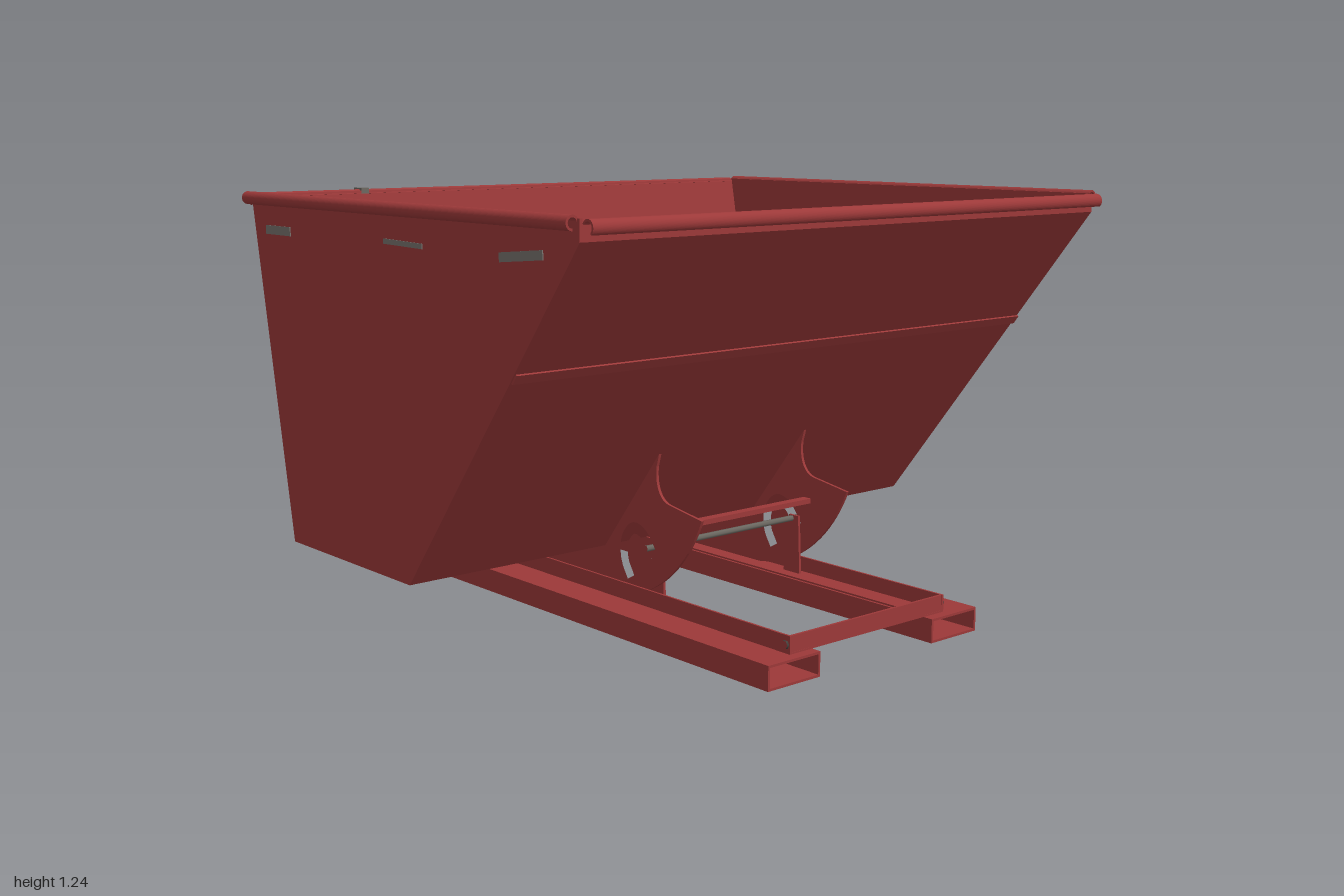
import * as THREE from 'three';

const mat = (name, color) => Object.assign(new THREE.MeshStandardMaterial({ color }), { name });

export function createModel() {
  const root = new THREE.Group();
  root.name = 'tippingSkip';
  const red = mat('red paint', 0x9c3939);
  const grey = mat('grey steel', 0x6c6861);
  const dark = mat('dark steel', 0x45423e);
  const label = mat('label grey', 0x77716c);

  const add = (name, geometry, material, parent = root) => {
    const m = new THREE.Mesh(geometry, material);
    m.name = name;
    parent.add(m);
    return m;
  };
  // box given by its limits
  const box = (name, x0, x1, y0, y1, z0, z1, material = red) => {
    const m = add(name, new THREE.BoxGeometry(x1 - x0, y1 - y0, z1 - z0), material);
    m.position.set((x0 + x1) / 2, (y0 + y1) / 2, (z0 + z1) / 2);
    return m;
  };
  // (z, y) outline extruded across x, centred on cx
  const slab = (name, shape, width, cx, material = red) => {
    const g = new THREE.ExtrudeGeometry(shape, { depth: width, bevelEnabled: false, curveSegments: 20 });
    g.rotateY(-Math.PI / 2).translate(cx + width / 2, 0, 0);
    return add(name, g, material);
  };
  const poly = pts => new THREE.Shape(pts.map(p => new THREE.Vector2(...p)));
  const rod = (name, pts, r, material, seg = 24) =>
    add(name, new THREE.TubeGeometry(new THREE.CatmullRomCurve3(pts.map(p => new THREE.Vector3(...p))), seg, r, 6), material);

  // Hopper: bent sheet for front, floor and rear, plus two side walls
  slab('hopperSheet', poly([
    [0.79, 1.225], [0.79, 1.18], [0.02, 0.21], [-0.62, 0.21], [-0.81, 1.235],
    [-0.802, 1.235], [-0.613, 0.218], [0.016, 0.218], [0.782, 1.183], [0.782, 1.225],
  ]), 1.93, 0);
  const sideOutline = poly([[0.79, 1.235], [0.79, 1.18], [0.02, 0.21], [-0.62, 0.21], [-0.81, 1.235]]);
  for (const s of [-1, 1]) slab('hopperSide', sideOutline, 0.008, s * 0.963);

  // Narrow overlap seam across the sloping front
  slab('frontSeam', poly([[0.527, 0.845], [0.532, 0.842], [0.514, 0.818], [0.508, 0.82]]), 1.93, 0);

  // Rolled rims: open curls, the hollow facing down and inward
  const curl = (r, a0, a1) => {
    const s = new THREE.Shape();
    s.absarc(0, 0, r, a0, a1, false);
    s.absarc(0, 0, r - 0.006, a1, a0, true);
    return s;
  };
  const frontRim = slab('frontRim', curl(0.021, -0.9, 2.7), 1.92, 0);
  frontRim.position.set(0, 1.214, 0.811);
  const rearRim = slab('rearRim', curl(0.021, 0.4, 4.0), 1.92, 0);
  rearRim.position.set(0, 1.218, -0.819);
  for (const s of [-1, 1]) {
    const g = new THREE.ExtrudeGeometry(curl(0.019, -1.6, 2.9), { depth: 1.59, bevelEnabled: false, curveSegments: 16 });
    if (s < 0) g.rotateY(Math.PI).translate(0, 0, 1.59);
    add('sideRim', g, red).position.set(s * 0.98, 1.225, -0.81);
  }

  // Labels near the top of each side
  for (const s of [-1, 1]) {
    for (const [z, w, h, tilt] of [[0.56, 0.18, 0.024, -0.09], [0.03, 0.19, 0.014, 0.02], [-0.65, 0.145, 0.026, 0]]) {
      const m = add('sideLabel', new THREE.BoxGeometry(0.004, h, w), label);
      m.position.set(s * 0.968, 1.135, z);
      m.rotation.x = tilt;
    }
  }

  // Rocker plates with a curved slot
  const rocker = new THREE.Shape();
  rocker.moveTo(0.27, 0.53);
  rocker.quadraticCurveTo(0.262, 0.5, 0.257, 0.485);
  rocker.bezierCurveTo(0.25, 0.43, 0.27, 0.39, 0.31, 0.382);
  rocker.lineTo(0.45, 0.36);
  rocker.bezierCurveTo(0.39, 0.22, 0.25, 0.075, 0.03, 0.072);
  rocker.lineTo(-0.2, 0.072);
  rocker.lineTo(-0.49, 0.09);
  rocker.lineTo(-0.51, 0.21);
  rocker.lineTo(0.02, 0.21);
  rocker.lineTo(0.27, 0.53);
  const path = new THREE.CatmullRomCurve3([
    [0.14, 0.138], [0.112, 0.19], [0.115, 0.25], [0.155, 0.288], [0.2, 0.275], [0.245, 0.22],
  ].map(([z, y]) => new THREE.Vector3(z, y, 0)));
  const left = [], right = [];
  for (let i = 0; i <= 20; i++) {
    const p = path.getPoint(i / 20), t = path.getTangent(i / 20);
    left.push(new THREE.Vector2(p.x - t.y * 0.017, p.y + t.x * 0.017));
    right.unshift(new THREE.Vector2(p.x + t.y * 0.017, p.y - t.x * 0.017));
  }
  rocker.holes.push(new THREE.Path([...left, ...right]));
  for (const s of [-1, 1]) slab('rockerPlate', rocker, 0.009, s * 0.288);

  // Pivot bar, its lugs and the tie between the rockers
  rod('pivotBar', [[-0.315, 0.245, 0.235], [0.315, 0.245, 0.235]], 0.009, grey, 1);
  box('rockerTie', -0.285, 0.285, 0.3, 0.315, 0.27, 0.3);
  const lug = poly([[0.2, 0.07], [0.27, 0.07], [0.262, 0.255], [0.222, 0.255]]);
  for (const s of [-1, 1]) slab('pivotLug', lug, 0.008, s * 0.272);

  // Base: hollow fork pockets, angle rails and cross members
  for (const s of [-1, 1]) {
    const tube = new THREE.Shape([[-0.095, 0], [0.095, 0], [0.095, 0.07], [-0.095, 0.07]].map(p => new THREE.Vector2(...p)));
    tube.holes.push(new THREE.Path([[-0.088, 0.007], [-0.088, 0.063], [0.088, 0.063], [0.088, 0.007]].map(p => new THREE.Vector2(...p))));
    const g = new THREE.ExtrudeGeometry(tube, { depth: 1.685, bevelEnabled: false });
    add('forkPocket', g, red).position.set(s * 0.317, 0, -0.84);
    const a = s * 0.298, b = s * 0.305, c = s * 0.23;
    box('railWeb', Math.min(a, b), Math.max(a, b), 0.07, 0.12, -0.76, 0.815);
    box('railFlange', Math.min(a, c), Math.max(a, c), 0.068, 0.075, -0.76, 0.815);
    rod('railBolt', [[s * 0.28, 0.095, 0.8], [s * 0.312, 0.095, 0.8]], 0.012, dark, 1);
  }
  for (const [name, z, d] of [['frontCrossMember', 0.81, -1], ['rearCrossMember', -0.75, 1]]) {
    box(name, -0.3, 0.3, 0.07, 0.12, z - 0.004, z + 0.004);
    box(name + 'Flange', -0.3, 0.3, 0.07, 0.077, Math.min(z, z + d * 0.05), Math.max(z, z + d * 0.05));
  }

  // Rear latch: lever, catch post and the bracket on the hopper
  box('latchLever', 0.095, 0.12, 0.1, 0.46, -0.713, -0.682, grey);
  box('leverFoot', 0.08, 0.135, 0.075, 0.14, -0.75, -0.68, grey);
  box('catchPost', -0.04, -0.018, 0.1, 0.36, -0.713, -0.69, grey);
  box('catchPlate', -0.06, 0.0, 0.34, 0.385, -0.7, -0.69, label);
  rod('latchPin', [[-0.045, 0.22, -0.7], [0.125, 0.22, -0.7]], 0.008, grey, 1);
  const bracket = poly([[-0.63, 0.25], [-0.655, 0.25], [-0.685, 0.27], [-0.685, 0.34], [-0.66, 0.36], [-0.645, 0.36]]);
  for (const x of [-0.07, 0.01]) slab('latchBracket', bracket, 0.012, x);
  box('latchBracketFace', -0.07, 0.01, 0.27, 0.34, -0.68, -0.668);

  // Return spring along the rear cross member
  const coil = [];
  for (let i = 0; i <= 9 * 10; i++) {
    const a = i / 10 * Math.PI * 2;
    coil.push([-0.205 + 0.2 * i / 90, 0.09 + 0.033 * Math.cos(a), -0.748 + 0.026 * Math.sin(a)]);
  }
  rod('returnSpring', coil, 0.004, dark, 220);
  rod('springHook', [[-0.205, 0.12, -0.748], [-0.215, 0.07, -0.755], [-0.2, 0.04, -0.75]], 0.004, dark, 8);

  // Safety chain from the rear rim to the lever, with its rim clip
  box('chainClip', -0.6, -0.573, 1.215, 1.243, -0.845, -0.8, grey);
  const chain = new THREE.Group();
  chain.name = 'safetyChain';
  root.add(chain);
  const run = new THREE.CatmullRomCurve3([
    [-0.585, 1.22, -0.838], [-0.585, 1.08, -0.832], [-0.57, 0.88, -0.805], [-0.52, 0.68, -0.775],
    [-0.42, 0.5, -0.768], [-0.3, 0.36, -0.755], [-0.2, 0.28, -0.735], [-0.12, 0.28, -0.755],
    [-0.04, 0.33, -0.785], [0.04, 0.39, -0.755], [0.1, 0.445, -0.712],
  ].map(p => new THREE.Vector3(...p)));
  const link = new THREE.TorusGeometry(0.006, 0.0018, 4, 8).scale(1, 2, 1);
  const count = 72, up = new THREE.Vector3(0, 1, 0);
  for (let i = 0; i < count; i++) {
    const u = (i + 0.5) / count;
    const m = add('chainLink', link, dark, chain);
    m.position.copy(run.getPointAt(u));
    m.quaternion.setFromUnitVectors(up, run.getTangentAt(u));
    m.rotateY(i % 2 * Math.PI / 2);
  }
  return root;
}
